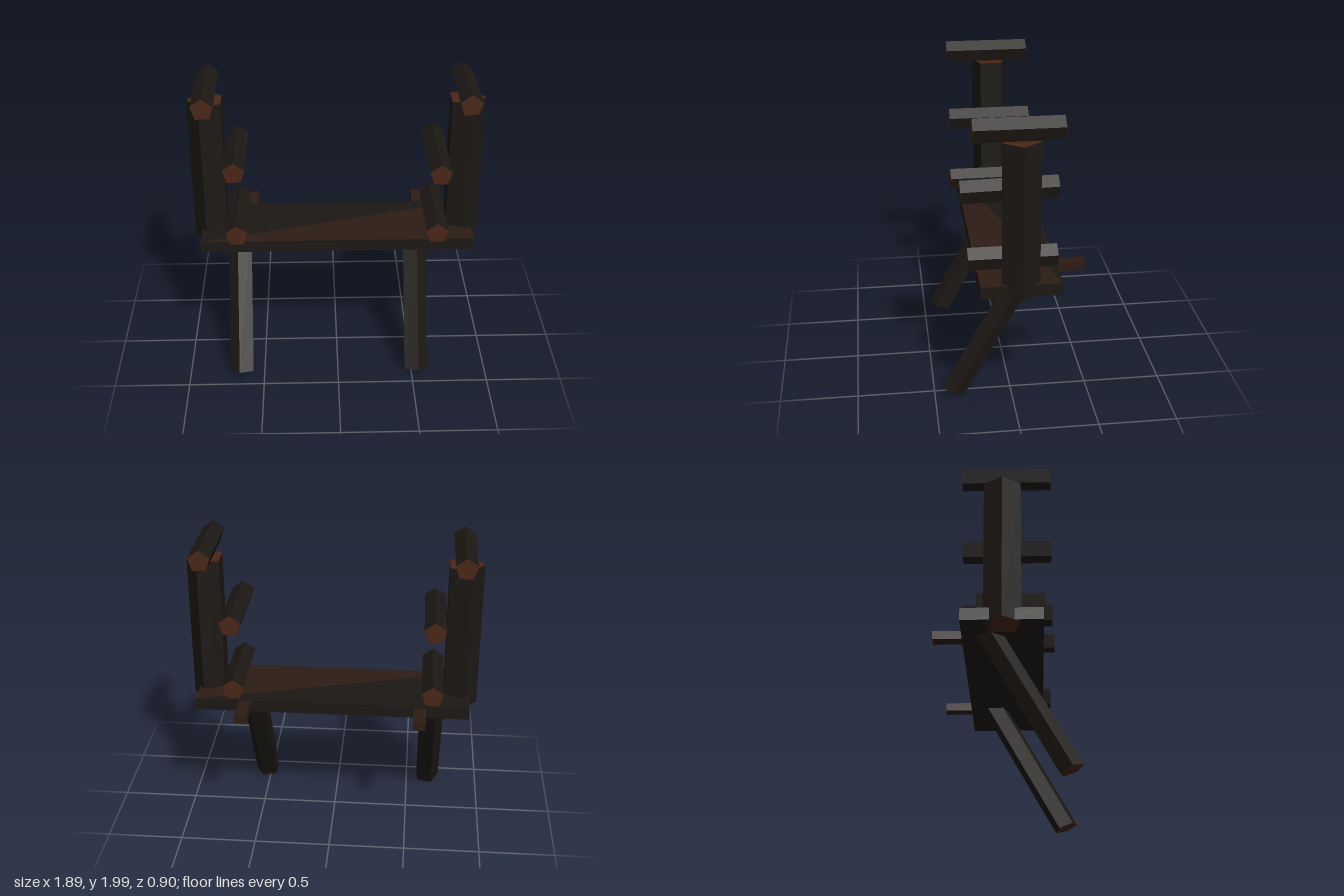
import * as THREE from 'three';

const material = (color) => new THREE.MeshStandardMaterial({ color, flatShading: true });

export function createModel() {
  const model = new THREE.Group();
  const bark = material(0x1c1814);
  const cutWood = material(0x4a2717);
  const wornWood = material(0x2c1c14);

  const add = (name, geometry, mats, x, y, z) => {
    const mesh = new THREE.Mesh(geometry, mats);
    mesh.name = name;
    mesh.position.set(x, y, z);
    model.add(mesh);
    return mesh;
  };
  // Five-sided log: bark on the sides, cut wood on the ends
  const log = (radius, length) => new THREE.CylinderGeometry(radius, radius, length, 5);
  const logMaterials = [bark, cutWood, cutWood];

  // Board, its top split diagonally into a dark and a worn half
  const board = new THREE.BoxGeometry(1.78, 0.08, 0.5);
  board.clearGroups();
  board.addGroup(0, 15, 0);
  board.addGroup(15, 3, 1);
  board.addGroup(18, 18, 0);
  add('board', board, [bark, wornWood], 0, 0.925, -0.02);

  for (const side of [-1, 1]) {
    const label = side > 0 ? 'left' : 'right';

    // Upright post with one corner pointing outward
    const post = log(0.1216, 0.975).rotateY(side * Math.PI / 2);
    add(label + 'Post', post, logMaterials, side * 0.823, 1.3725, -0.018);

    // Slanted leg: tilted, then sheared so its foot is cut at a shallower angle
    const leg = log(0.085, 0.95).rotateY(side * 0.237).rotateX(-0.34);
    const p = leg.attributes.position;
    for (let i = 0; i < p.count; i++) p.setZ(i, p.getZ(i) - 0.2 * p.getY(i));
    leg.computeVertexNormals();
    add(label + 'Leg', leg, logMaterials, side > 0 ? 0.523 : -0.645, 0.481, 0.129);

    // Small stick poking out behind the board
    add(label + 'BackStick', new THREE.BoxGeometry(0.08, 0.055, 0.25), wornWood,
      side * 0.57, 0.928, -0.33);
  }

  // Pegs running front to back: name, x, y of centre, front z, drop of the front end
  const pegs = [
    ['rightTopPeg', -0.82, 1.925, 0.285, 0],
    ['leftTopPeg', 0.815, 1.925, 0.265, 0],
    ['rightMiddlePeg', -0.65, 1.49, 0.285, 0],
    ['leftMiddlePeg', 0.643, 1.487, 0.325, 0.012],
    ['rightLowerPeg', -0.65, 1.038, 0.285, 0],
    ['leftLowerPeg', 0.643, 1.038, 0.285, 0],
  ];
  const backZ = -0.27;
  for (const [name, x, y, frontZ, drop] of pegs) {
    const length = frontZ - backZ;
    const peg = log(0.0737, length).rotateY(Math.PI).rotateX(Math.PI / 2);
    add(name, peg, logMaterials, x, y, (frontZ + backZ) / 2).rotation.x = drop / length;
  }

  return model;
}
